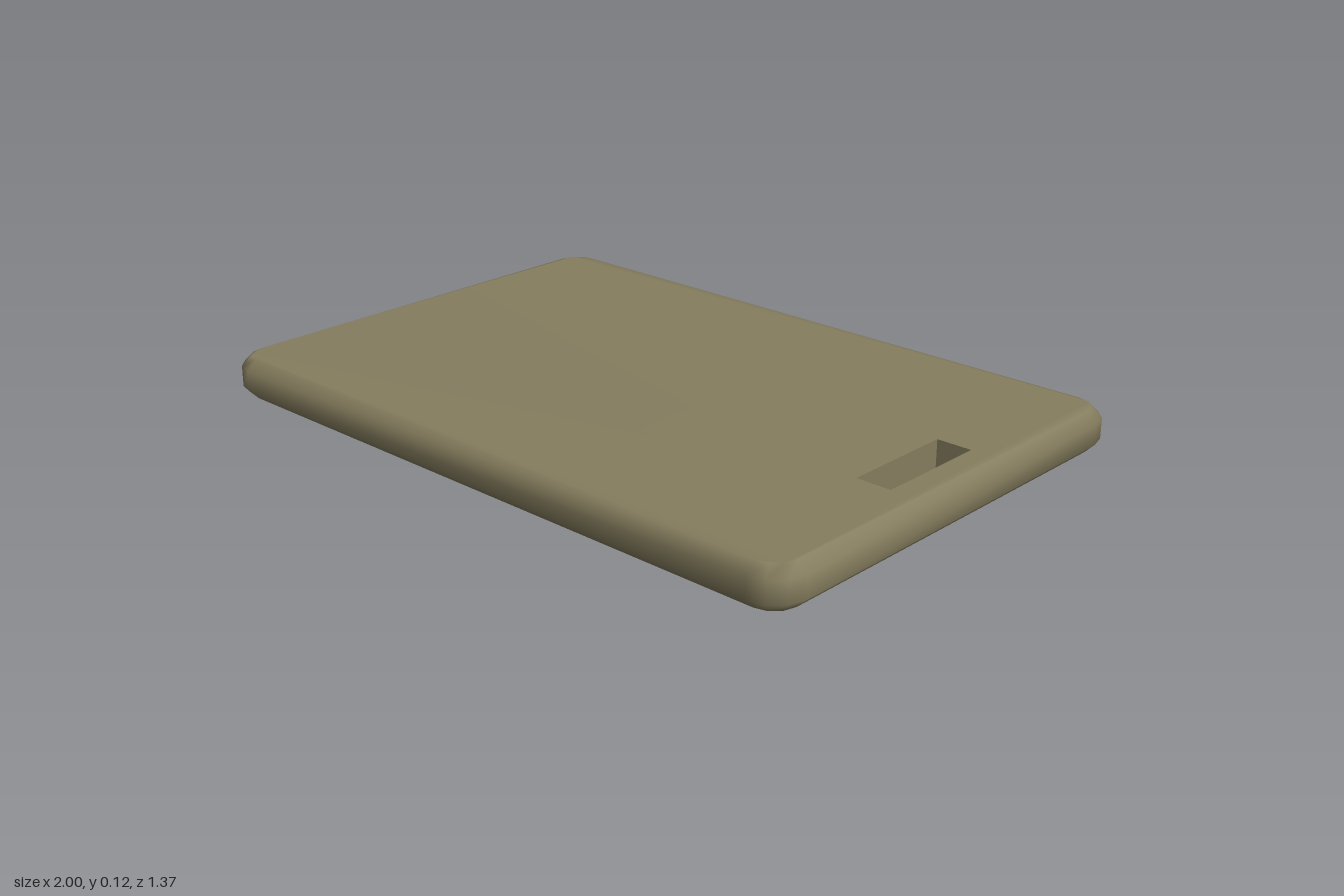
import * as THREE from 'three';
import { mergeGeometries, mergeVertices } from 'three/addons/utils/BufferGeometryUtils.js';

const HALF_X = 1, HALF_Z = 0.683, HEIGHT = 0.115, RADIUS = 0.095, BEVEL = 0.028, SEGMENTS = 3;

// Rounded rectangle, counter-clockwise from above (second coordinate is -z).
function outline(inset) {
  const points = [];
  [[1, 1], [-1, 1], [-1, -1], [1, -1]].forEach(([sx, sy], corner) => {
    for (let i = 0; i <= SEGMENTS; i++) {
      const a = (corner + i / SEGMENTS) * Math.PI / 2;
      points.push(new THREE.Vector2(
        sx * (HALF_X - RADIUS) + (RADIUS - inset) * Math.cos(a),
        sy * (HALF_Z - RADIUS) + (RADIUS - inset) * Math.sin(a)));
    }
  });
  return points;
}

// Band of faces between a lower and an upper loop.
function band(lower, y0, upper, y1) {
  const pos = [];
  const put = (p, y) => pos.push(p.x, y, -p.y);
  lower.forEach((p, i) => {
    const j = (i + 1) % lower.length;
    put(p, y0); put(lower[j], y0); put(upper[j], y1);
    put(p, y0); put(upper[j], y1); put(upper[i], y1);
  });
  const geometry = new THREE.BufferGeometry();
  geometry.setAttribute('position', new THREE.Float32BufferAttribute(pos, 3));
  return geometry;
}

// Flat face with the slot cut out, facing up or down.
function face(loop, slot, y, up) {
  const shape = new THREE.Shape(loop);
  shape.holes.push(new THREE.Path(slot));
  const indexed = new THREE.ShapeGeometry(shape);
  if (!up) indexed.index.array.reverse();
  const geometry = indexed.toNonIndexed().rotateX(-Math.PI / 2).translate(0, y, 0);
  geometry.deleteAttribute('normal');
  geometry.deleteAttribute('uv');
  return geometry;
}

export function createModel() {
  const group = new THREE.Group();
  group.name = 'cuttingBoard';
  const material = new THREE.MeshStandardMaterial({ color: 0x857d5e });

  // Handle slot, clockwise so that its walls face inward
  const slot = [[0.8, -0.161], [0.8, 0.166], [0.9, 0.166], [0.9, -0.161]]
    .map(([x, y]) => new THREE.Vector2(x, y));

  // Board with chamfered edges, smoothly shaded
  const outer = outline(0), inner = outline(BEVEL);
  const board = mergeVertices(mergeGeometries([
    band(inner, 0, outer, BEVEL),
    band(outer, BEVEL, outer, HEIGHT - BEVEL),
    band(outer, HEIGHT - BEVEL, inner, HEIGHT),
    face(inner, slot, HEIGHT, true),
    face(inner, slot, 0, false),
  ]));
  board.computeVertexNormals();

  // Sharp walls of the slot
  const walls = band(slot, 0, slot, HEIGHT);
  walls.computeVertexNormals();

  for (const [name, geometry] of [['board', board], ['handleSlotWalls', walls]]) {
    const mesh = new THREE.Mesh(geometry, material);
    mesh.name = name;
    group.add(mesh);
  }
  return group;
}
